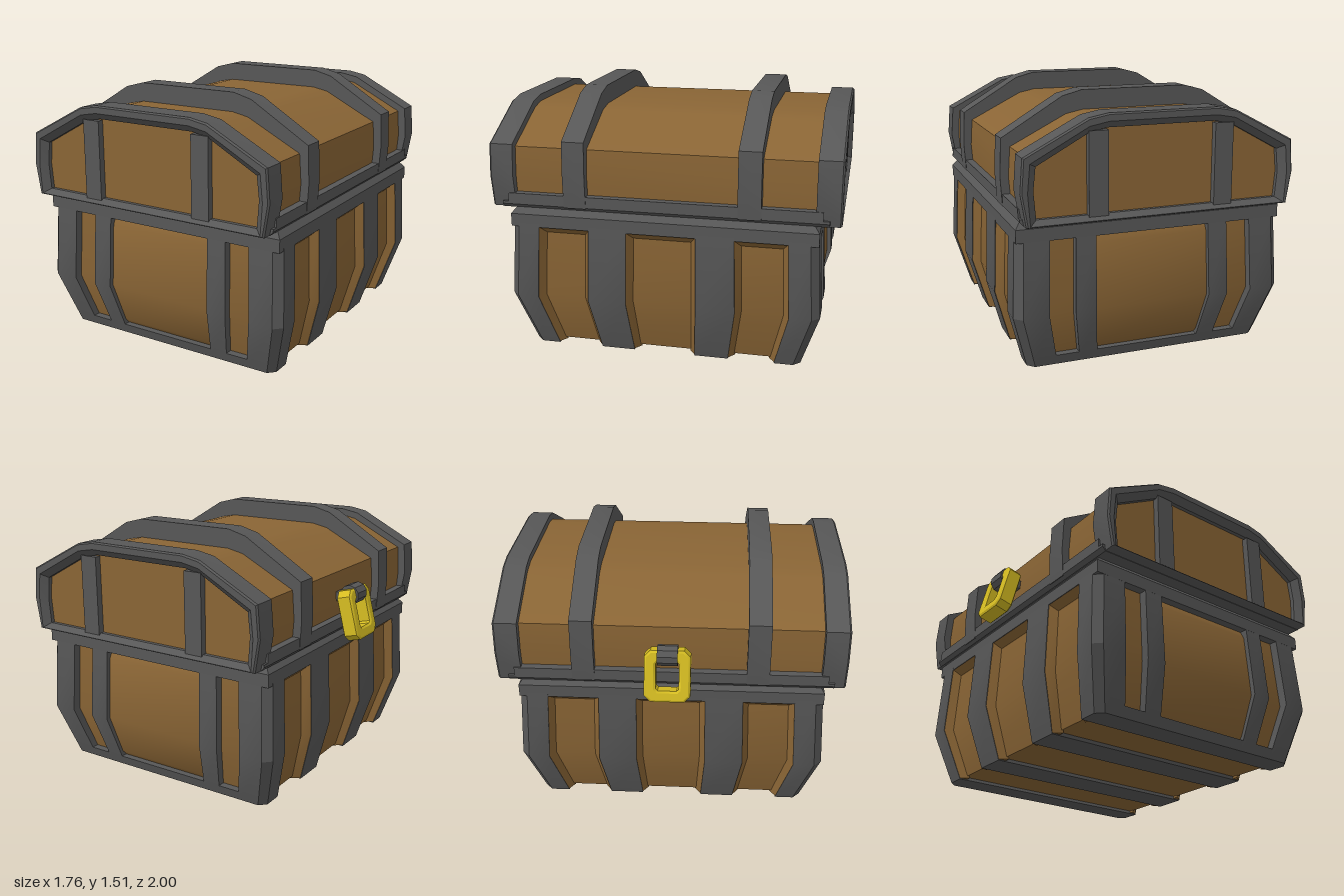
import * as THREE from 'three';
import { toCreasedNormals } from 'three/addons/utils/BufferGeometryUtils.js';

const mat = (color) => new THREE.MeshStandardMaterial({ color });

export function createModel() {
  const wood = mat(0x8a6535), iron = mat(0x575757), gold = mat(0xd6bd22);
  const root = new THREE.Group();
  const body = new THREE.Group(), lid = new THREE.Group(), latch = new THREE.Group();
  body.name = 'body'; lid.name = 'lid'; latch.name = 'latch';
  root.add(body, lid, latch);
  body.position.x = 0.068;
  lid.position.x = 0.06;

  // Gentle bends are smooth, corners stay sharp
  const add = (parent, name, geo, material) => {
    const mesh = new THREE.Mesh(toCreasedNormals(geo, 0.45), material);
    mesh.name = name;
    parent.add(mesh);
    return mesh;
  };
  const box = (x0, x1, y0, y1, z0, z1) =>
    new THREE.BoxGeometry(x1 - x0, y1 - y0, z1 - z0)
      .translate((x0 + x1) / 2, (y0 + y1) / 2, (z0 + z1) / 2);

  // Closed solid through a stack of rings of [x, z]; ringAt(y, k) gives each section
  const loft = (levels, ringAt) => {
    const pos = [], idx = [], n = ringAt(levels[0], 0).length;
    levels.forEach((y, k) => {
      const ring = ringAt(y, k);
      const area = ring.reduce((a, p, i) => {
        const q = ring[(i + 1) % n];
        return a + p[0] * q[1] - q[0] * p[1];
      }, 0);
      if (area > 0) ring.reverse();
      for (const [x, z] of ring) pos.push(x, y, z);
    });
    const top = (levels.length - 1) * n;
    for (let k = 0; k < top; k += n) {
      for (let i = 0; i < n; i++) {
        const a = k + i, b = k + (i + 1) % n;
        idx.push(a, b, b + n, a, b + n, a + n);
      }
    }
    for (let i = 1; i < n - 1; i++) idx.push(0, i + 1, i, top, top + i, top + i + 1);
    const geo = new THREE.BufferGeometry();
    geo.setAttribute('position', new THREE.Float32BufferAttribute(pos, 3));
    geo.setIndex(idx);
    return geo;
  };

  // Bulging body: the section grows from the foot to the belly, then narrows a little
  const swell = (y) => y < 0.33
    ? THREE.MathUtils.lerp(0.883, 1, y / 0.33)
    : THREE.MathUtils.lerp(1, 0.975, Math.min(1, (y - 0.33) / 0.43));
  const bulged = (levels, ring) =>
    loft(levels, (y) => ring.map(([x, z]) => [x * swell(y), z * swell(y)]));
  const rect = (x0, x1, z0, z1) => [[x0, z0], [x1, z0], [x1, z1], [x0, z1]];

  const HX = 0.808, HZ = 0.905, D = 0.05, tall = [0, 0.33, 0.78];
  add(body, 'bodyPlanks', bulged([0.02, 0.33, 0.76, 0.86], rect(-HX + D, HX - D, -HZ + D, HZ - D)), wood);

  for (const sx of [-1, 1]) {
    for (const sz of [-1, 1]) {
      // Corner post with a chamfered edge
      const post = [[0.615, 0.735], [HX, 0.735], [HX, HZ - 0.045], [HX - 0.045, HZ], [0.615, HZ]];
      add(body, 'cornerPost', bulged(tall, post.map(([x, z]) => [x * sx, z * sz])), iron);
      add(body, 'endStrap', bulged(tall, rect(0.345 * sx, 0.465 * sx, 0.82 * sz, HZ * sz)), iron);
      add(body, 'sideStrap', bulged(tall, rect(0.72 * sx, HX * sx, 0.205 * sz, 0.43 * sz)), iron);
      // Sloping wooden edges beside the side straps and posts
      for (const [z0, z1] of [[0.205, 0.43], [0.735, 0.84]]) {
        const slope = [[HX - D - 0.01, z0 - 0.04], [HX - 0.003, z0], [HX - 0.003, z1], [HX - D - 0.01, z1 + (z0 < 0.5 ? 0.04 : 0)]];
        add(body, 'panelEdge', bulged([0.006, 0.33, 0.77], slope.map(([x, z]) => [x * sx, z * sz])), wood);
      }
    }
    // Sloping wooden edge under the top rail
    add(body, 'panelTopEdge', loft([0.715, 0.755], (y) => {
      const out = y < 0.73 ? HX - D : HX - 0.004;
      return rect(0.7 * sx, out * swell(y) * sx, -0.75, 0.75);
    }), wood);
  }

  for (const sz of [-1, 1]) {
    // Slightly raised middle panel
    add(body, 'endPanel', loft([0.05, 0.09, 0.33, 0.71, 0.76], (y, k) => {
      const rise = k === 0 || k === 4 ? 0 : 0.022, w = 0.35 * swell(y);
      return rect(-w, w, 0.7 * sz, ((HZ - D) * swell(y) + rise) * sz);
    }), wood);
    // Sills on both ends and straps across the underside
    add(body, 'endSill', bulged([0, 0.06], rect(-0.62, 0.62, 0.8 * sz, HZ * sz)), iron);
    add(body, 'bottomStrap', bulged([0, 0.035], rect(-HX + 0.045, HX - 0.045, 0.735 * sz, HZ * sz)), iron);
    add(body, 'bottomStrap', bulged([0, 0.035], rect(-HX, HX, 0.205 * sz, 0.43 * sz)), iron);
  }

  // Rail around the top of the body
  add(body, 'bodyRail', loft([0.755, 0.83, 0.868], (y) => {
    const inset = y > 0.85 ? 0.03 : 0;
    return rect(-0.788 + inset, 0.788 - inset, -0.884 + inset, 0.884 - inset);
  }), iron);

  // Lid: half profiles from the bottom to the crown, mirrored in x
  const arch = (half) => [...half, ...half.map(([x, y]) => [-x, y]).reverse()];
  const woodArch = [[0.735, 0.88], [0.747, 1.05], [0.735, 1.215], [0.41, 1.38], [0.31, 1.4]];
  const strapArch = [[0.785, 0.88], [0.795, 1.05], [0.785, 1.265], [0.43, 1.48], [0.315, 1.51]];
  const endArch = [[0.765, 0.865], [0.795, 1.05], [0.78, 1.235], [0.425, 1.42], [0.315, 1.44]];
  const rimArch = [[0.757, 0.87], [0.787, 1.05], [0.772, 1.23], [0.422, 1.412], [0.313, 1.432]];
  const faceArch = [[0.745, 0.873], [0.757, 1.05], [0.742, 1.203], [0.42, 1.377], [0.312, 1.397]];
  const opening = [[0.705, 0.9], [0.717, 1.05], [0.703, 1.18], [0.41, 1.34], [0.31, 1.36]];
  // Solid through arches stacked along z
  const archLoft = (depths, arches) =>
    loft(depths, (z, k) => arch(arches[k]).map(([x, y]) => [x, -y])).rotateX(Math.PI / 2);

  add(lid, 'lidPlanks', archLoft([-0.942, 0.942], [woodArch, woodArch]), wood);
  add(lid, 'lidRim', loft([0.862, 0.885, 0.9], (y) => {
    const inset = y < 0.87 ? 0.02 : 0;
    return rect(-0.785 + inset, 0.785 - inset, -0.935, 0.935);
  }), iron);

  for (const s of [-1, 1]) {
    add(lid, 'lidSideRail', box(s * 0.75 - 0.035, s * 0.75 + 0.035, 0.89, 0.95, -0.9, 0.9), iron);
    add(lid, 'lidStrap', archLoft([s * 0.5 - 0.065, s * 0.5 + 0.065], [strapArch, strapArch]), iron);
    // End frame whose inner edge slopes back to the recessed planks
    const frame = add(lid, 'lidEndFrame', archLoft(
      [0.86, 0.99, 1, 1, 0.965, 0.93],
      [endArch, endArch, rimArch, faceArch, opening, opening]), iron);
    frame.rotation.y = s < 0 ? Math.PI : 0;
    add(lid, 'lidEndPlanks', archLoft([s * 0.935 - 0.007, s * 0.935 + 0.007], [opening, opening]), wood);
    for (const sx of [-1, 1]) {
      add(lid, 'lidEndBar', box(sx * 0.365 - 0.055, sx * 0.365 + 0.055, 0.89, 1.35, s * 0.945 - 0.035, s * 0.945 + 0.035), iron);
    }
  }

  // Latch: tilted ring hanging from a knuckle on the side of the lid
  const plate = (Type, w, h, c) => new Type([
    [w - c, -h], [w, -h + c], [w, h - c], [w - c, h], [-w + c, h], [-w, h - c], [-w, -h + c], [-w + c, -h],
  ].map(([x, y]) => new THREE.Vector2(x, y)));
  const ringShape = plate(THREE.Shape, 0.13, 0.15, 0.035);
  ringShape.holes.push(plate(THREE.Path, 0.065, 0.085, 0.012));
  const ring = add(latch, 'latchRing', new THREE.ExtrudeGeometry(ringShape, {
    depth: 0.078, bevelThickness: 0.008, bevelSize: 0.012, bevelOffset: -0.012, bevelSegments: 1,
  }).translate(0, 0, -0.039).rotateY(Math.PI / 2), gold);
  ring.position.set(-0.8, 0.982, -0.01);
  ring.rotation.z = -0.25;
  const knuckle = add(latch, 'latchKnuckle',
    new THREE.CylinderGeometry(0.06, 0.06, 0.115, 10).rotateX(Math.PI / 2), iron);
  knuckle.position.set(-0.775, 1.093, -0.01);
  add(latch, 'latchMount', box(-0.77, -0.67, 1.045, 1.1, -0.06, 0.04), iron);

  return root;
}
